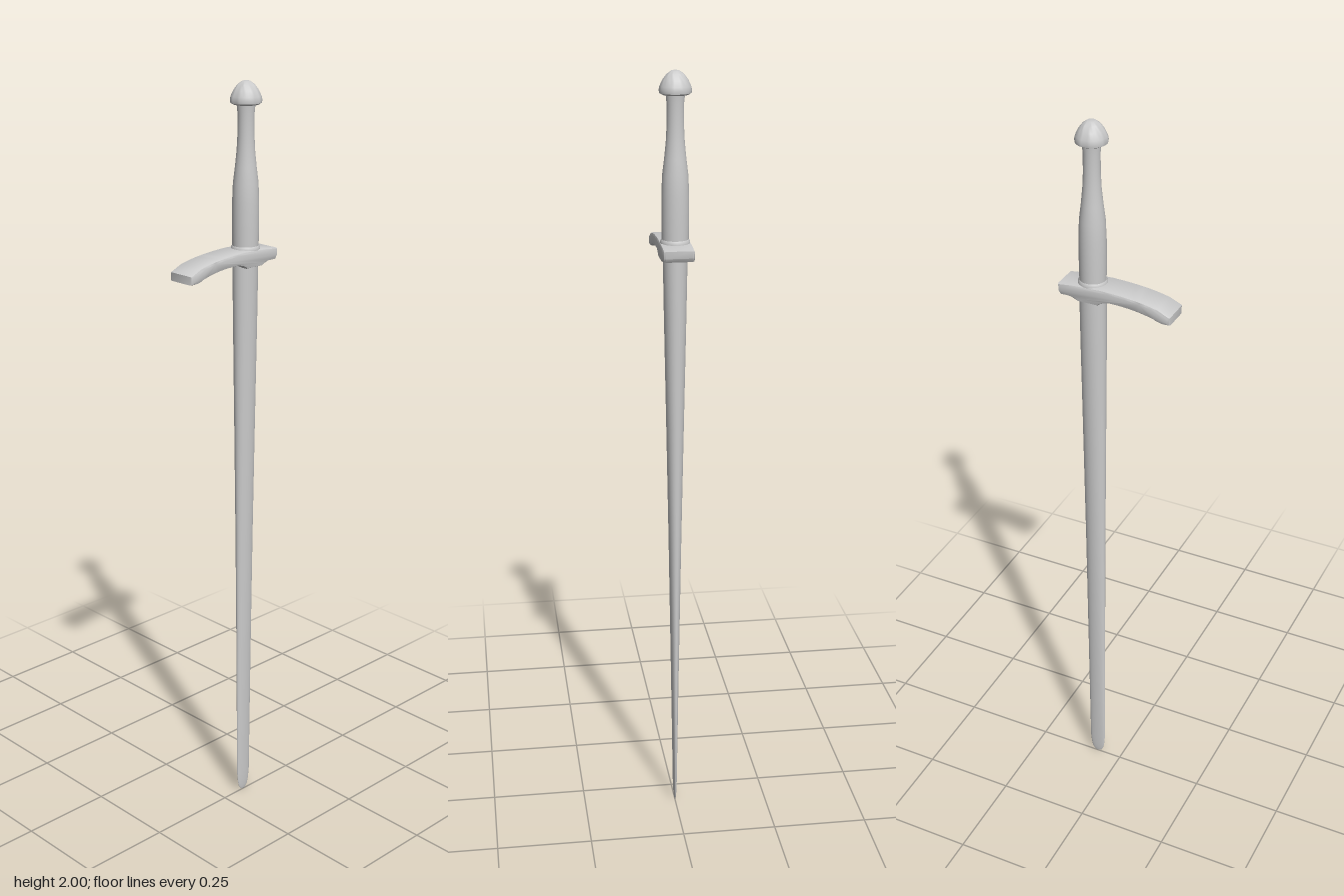
import * as THREE from 'three';
import { mergeVertices, toCreasedNormals } from 'three/addons/utils/BufferGeometryUtils.js';

const AXIS = 0.072; // x of the sword's long axis
const material = new THREE.MeshStandardMaterial({ color: 0xcccccc });

function add(group, name, geometry, x = AXIS) {
  const mesh = new THREE.Mesh(geometry, material);
  mesh.name = name;
  mesh.position.x = x;
  group.add(mesh);
}

const lathe = (points, segments = 32) =>
  new THREE.LatheGeometry(points.map(([r, y]) => new THREE.Vector2(r, y)), segments);

// Flattened lathe: the width follows the profile, the depth thins towards the tip
function bladeGeometry() {
  const profile = [[0, 0], [0.009, 0.004], [0.016, 0.014], [0.02, 0.03], [0.023, 0.06],
    [0.024, 0.2], [0.026, 0.5], [0.028, 0.8], [0.031, 1.1], [0.034, 1.4], [0.035, 1.56]];
  let geo = lathe(profile, 24);
  const pos = geo.attributes.position;
  for (let i = 0; i < pos.count; i++) {
    const y = pos.getY(i);
    const halfDepth = 0.004 + 0.027 * Math.pow(y / 1.56, 1.05);
    const fullWidth = 0.023 + 0.012 * (y / 1.56);
    pos.setZ(i, pos.getZ(i) * halfDepth / fullWidth);
  }
  geo.deleteAttribute('uv');
  geo.deleteAttribute('normal');
  geo = mergeVertices(geo, 1e-5);
  geo.computeVertexNormals();
  return geo;
}

// Drooping long arm on one side, short arm on the other, swollen at the middle
function guardGeometry() {
  const s = new THREE.Shape();
  s.moveTo(-0.144, 1.538);
  s.quadraticCurveTo(-0.125, 1.536, -0.11, 1.544);
  s.quadraticCurveTo(-0.06, 1.56, 0.01, 1.56);
  s.quadraticCurveTo(0.035, 1.556, 0.045, 1.547);
  s.lineTo(0.095, 1.547);
  s.quadraticCurveTo(0.11, 1.556, 0.125, 1.556);
  s.lineTo(0.14, 1.556);
  s.lineTo(0.144, 1.562);
  s.lineTo(0.144, 1.573);
  s.lineTo(0.11, 1.577);
  s.lineTo(0.035, 1.58);
  s.quadraticCurveTo(-0.06, 1.578, -0.115, 1.563);
  s.lineTo(-0.144, 1.55);
  const geo = new THREE.ExtrudeGeometry(s, {
    depth: 0.066, bevelThickness: 0.006, bevelSize: 0.006, bevelSegments: 2, curveSegments: 8,
  });
  geo.translate(0, 0, -0.033);
  return toCreasedNormals(geo, 0.6);
}

export function createModel() {
  const sword = new THREE.Group();
  sword.name = 'sword';

  add(sword, 'blade', bladeGeometry());
  add(sword, 'crossguard', guardGeometry(), 0);

  // Collar where the grip meets the guard
  add(sword, 'collar', lathe([[0.034, 1.57], [0.037, 1.578], [0.037, 1.588], [0.033, 1.593]]));

  // Grip, swelling towards the guard
  add(sword, 'grip', lathe([[0.033, 1.57], [0.034, 1.63], [0.034, 1.7], [0.032, 1.75],
    [0.027, 1.79], [0.023, 1.83], [0.021, 1.87], [0.021, 1.92], [0.024, 1.95]]));

  // Domed pommel with a flat underside
  add(sword, 'pommel', toCreasedNormals(lathe([[0, 1.942], [0.032, 1.942], [0.039, 1.946],
    [0.04, 1.953], [0.038, 1.962], [0.031, 1.977], [0.021, 1.99], [0.01, 1.998], [0, 2]]), 0.7));

  return sword;
}
